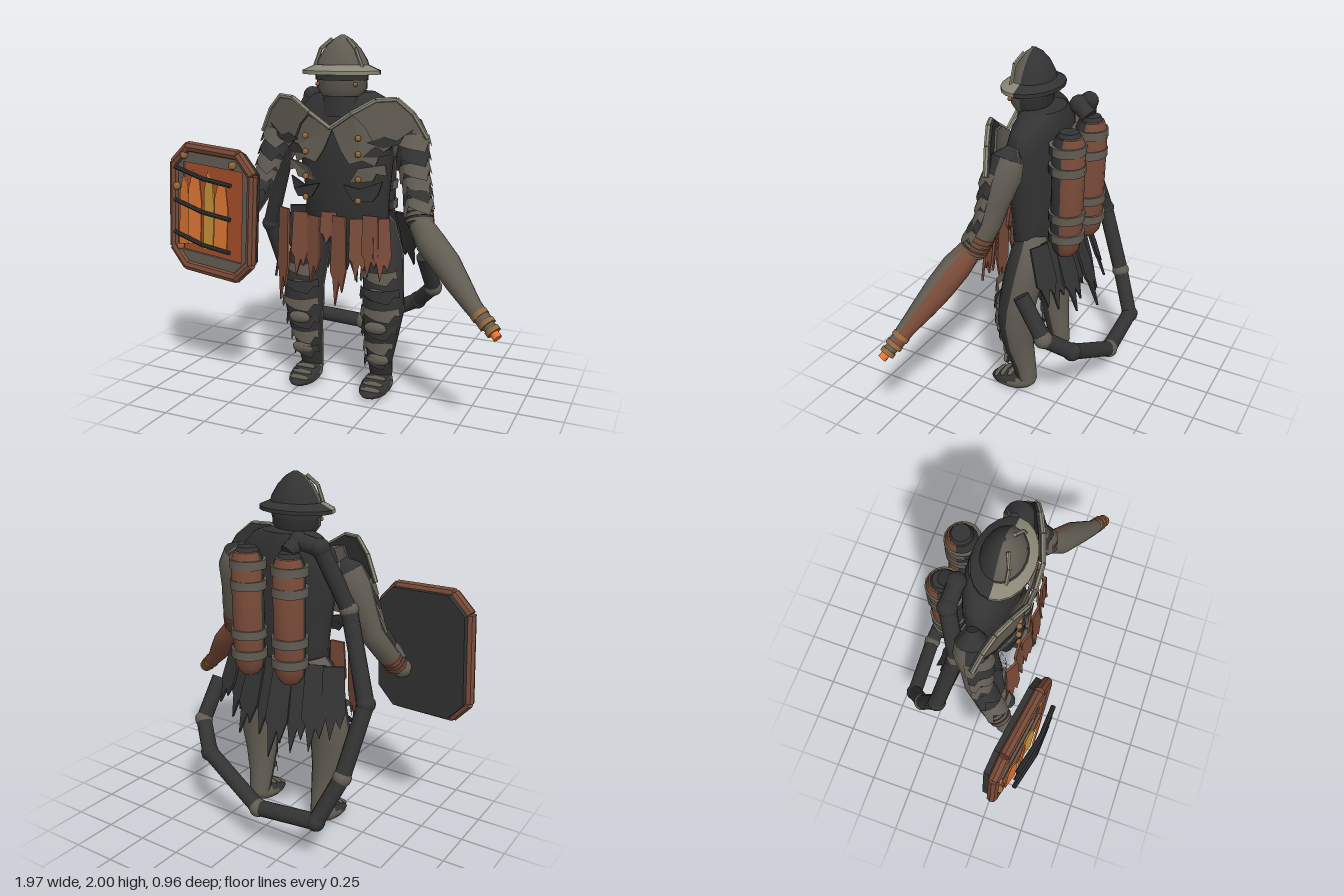
import * as THREE from 'three';
import { toCreasedNormals } from 'three/addons/utils/BufferGeometryUtils.js';

const V = (a) => new THREE.Vector3(...a);
const UP = new THREE.Vector3(0, 1, 0);

export function createModel() {
  const root = new THREE.Group();
  const mat = (name, color) => {
    const m = new THREE.MeshStandardMaterial({ color, side: THREE.DoubleSide });
    m.name = name;
    return m;
  };
  const steel = mat('steel', 0x625d53), light = mat('light steel', 0x8b8777), dark = mat('charcoal', 0x333334);
  const rust = mat('rust brown', 0x794b39), brass = mat('brass', 0x97673a), ember = mat('ember', 0xa64e2a);
  const flame = mat('flame orange', 0xd97332), ochre = mat('ochre', 0xcb9636), glow = mat('glow', 0xea7634);

  const add = (name, geo, material, parent = root, crease = 0.7) => {
    const m = new THREE.Mesh(toCreasedNormals(geo, crease), material);
    m.name = name;
    parent.add(m);
    return m;
  };
  // Skin over elliptical rings [x, y, z, rx, rz], listed bottom to top
  const loft = (rings, n = 16) => {
    const pos = [], idx = [], c = rings.map((r) => V(r));
    rings.forEach((r, i) => {
      const t = c[Math.min(i + 1, c.length - 1)].clone().sub(c[Math.max(i - 1, 0)]).normalize();
      const q = new THREE.Quaternion().setFromUnitVectors(UP, t);
      for (let j = 0; j < n; j++) {
        const a = (j / n) * Math.PI * 2;
        const p = new THREE.Vector3(Math.cos(a) * r[3], 0, Math.sin(a) * (r[4] ?? r[3])).applyQuaternion(q).add(c[i]);
        pos.push(p.x, p.y, p.z);
        if (i < rings.length - 1) {
          const k = (j + 1) % n, A = i * n + j, B = i * n + k;
          idx.push(A, A + n, B, B, A + n, B + n);
        }
      }
    });
    const last = rings.length - 1, b0 = pos.length / 3;
    pos.push(...c[0].toArray(), ...c[last].toArray());
    for (let j = 0; j < n; j++) {
      const k = (j + 1) % n;
      idx.push(b0, j, k, b0 + 1, last * n + k, last * n + j);
    }
    const g = new THREE.BufferGeometry();
    g.setAttribute('position', new THREE.Float32BufferAttribute(pos, 3));
    g.setIndex(idx);
    return g;
  };
  // Split faces into two material groups by face direction
  const split = (g, test = (n) => n.z > 0) => {
    const a = [], b = [], p = g.attributes.position, ix = g.index.array, tri = new THREE.Triangle(), n = new THREE.Vector3();
    for (let i = 0; i < ix.length; i += 3) {
      tri.setFromAttributeAndIndices(p, ix[i], ix[i + 1], ix[i + 2]);
      tri.getNormal(n);
      (test(n) ? a : b).push(ix[i], ix[i + 1], ix[i + 2]);
    }
    g.setIndex([...a, ...b]);
    g.clearGroups();
    g.addGroup(0, a.length, 0);
    g.addGroup(a.length, b.length, 1);
    return g;
  };
  const beam = (name, p, q, r, material, parent = root, sides = 10, r2 = r) => {
    const a = V(p), d = V(q).sub(a);
    const m = add(name, new THREE.CylinderGeometry(r2, r, d.length(), sides), material, parent);
    m.position.copy(a).addScaledVector(d, 0.5);
    m.quaternion.setFromUnitVectors(UP, d.normalize());
  };
  const ball = (name, p, r, material, parent = root, s = [1, 1, 1]) => {
    const m = add(name, new THREE.SphereGeometry(r, 12, 8), material, parent);
    m.position.set(...p);
    m.scale.set(...s);
  };
  const outline = (pts) => new THREE.Shape(pts.map((p) => new THREE.Vector2(p[0], p[1])));
  const extrude = (shape, depth) => new THREE.ExtrudeGeometry(shape, { depth, bevelEnabled: false });
  // Front plate with its depth following the chest curve
  const depthAt = (x) => 0.16 - 0.45 * Math.max(0, Math.abs(x + 0.015) - 0.14);
  const chestPlate = (name, pts, lift, material, depth = 0.015) => {
    const g = extrude(outline(pts), depth), p = g.attributes.position;
    for (let i = 0; i < p.count; i++) p.setZ(i, p.getZ(i) + depthAt(p.getX(i)) + lift);
    add(name, g, material, root, 0.2);
  };
  // Ragged armour shell around the front of a limb
  const band = (name, c, r, h, material, dir = [0, 1, 0], arc = 2.5, turn = 0) => {
    const g = new THREE.CylinderGeometry(r, r * 1.08, h, 8, 1, true, turn - arc / 2, arc), p = g.attributes.position;
    for (let i = 9; i < 18; i++) p.setY(i, p.getY(i) + [0, 0.35, 0.1, 0.55, 0.2][(i * 3) % 5] * h);
    const m = add(name, g, material, root, 0.3);
    m.position.set(...c);
    m.quaternion.setFromUnitVectors(UP, V(dir).normalize());
  };

  // Torso, hips and neck
  add('torso', loft([[-0.01, 0.86, -0.02, 0.15, 0.08], [-0.01, 0.98, -0.02, 0.25, 0.12], [-0.01, 1.12, -0.02, 0.25, 0.13],
    [-0.01, 1.3, -0.015, 0.27, 0.14], [-0.01, 1.5, -0.015, 0.31, 0.14], [-0.01, 1.61, -0.03, 0.28, 0.125],
    [-0.01, 1.675, -0.04, 0.21, 0.11], [-0.01, 1.7, -0.04, 0.15, 0.1]], 20), dark);
  add('neck', loft([[-0.015, 1.58, 0.02, 0.14, 0.1], [-0.015, 1.7, 0.03, 0.1, 0.08]]), dark);

  // Helmet with face guard
  add('faceGuard', split(loft([[-0.015, 1.68, 0.04, 0.11, 0.085], [-0.015, 1.72, 0.04, 0.14, 0.105], [-0.015, 1.83, 0.04, 0.145, 0.11]], 20)), [steel, dark]);
  add('eyeSlit', loft([[-0.015, 1.765, 0.042, 0.147, 0.113], [-0.015, 1.792, 0.042, 0.147, 0.113]], 20), dark);
  add('helmetDome', split(loft([[-0.015, 1.82, 0.03, 0.155, 0.115], [-0.015, 1.87, 0.03, 0.138, 0.105], [-0.015, 1.93, 0.03, 0.1, 0.08],
    [-0.015, 1.975, 0.03, 0.055, 0.045], [-0.015, 2, 0.03, 0.012, 0.01]], 20)), [steel, dark]);
  add('helmetBrim', split(loft([[-0.02, 1.79, 0.035, 0.14, 0.1], [-0.02, 1.795, 0.035, 0.22, 0.155], [-0.02, 1.815, 0.035, 0.22, 0.155],
    [-0.02, 1.845, 0.035, 0.15, 0.115]], 20)), [light, dark]);
  for (const s of [-1, 1]) {
    beam('helmetRib', [-0.015 + s * 0.14, 1.83, 0.09], [-0.015 + s * 0.1, 1.93, 0.09], 0.01, light, root, 6);
    beam('helmetRib', [-0.015 + s * 0.1, 1.93, 0.09], [-0.015 + s * 0.045, 1.98, 0.065], 0.01, light, root, 6);
    ball('faceRivet', [-0.015 + s * 0.11, 1.745, 0.115], 0.012, brass);
  }

  // Breastplates, shoulder plates, trim and belly lames
  for (const s of [-1, 1]) {
    const at = (pts) => pts.map(([x, y]) => [s * x - 0.015, y]);
    const pauldron = at([[0.12, 1.6], [0.24, 1.67], [0.34, 1.675], [0.42, 1.6], [0.49, 1.47], [0.43, 1.48], [0.38, 1.42], [0.34, 1.45], [0.28, 1.4], [0.23, 1.45], [0.19, 1.53]]);
    chestPlate('breastplate', at([[0, 1.51], [0.12, 1.59], [0.25, 1.62], [0.32, 1.5], [0.3, 1.38], [0.26, 1.4], [0.23, 1.32], [0.17, 1.35], [0.1, 1.33], [0.05, 1.4]]), 0, steel);
    chestPlate('pauldron', pauldron, 0.025, steel);
    chestPlate('pauldronLining', pauldron, 0.013, dark, 0.012);
    chestPlate('pauldronGap', at([[0.2, 1.45], [0.28, 1.48], [0.34, 1.46], [0.42, 1.52], [0.4, 1.48], [0.35, 1.44], [0.28, 1.42]]), 0.038, dark, 0.006);
    chestPlate('breastGap', at([[0.17, 1.37], [0.22, 1.42], [0.31, 1.43], [0.29, 1.38], [0.24, 1.37]]), 0.013, dark, 0.006);
    chestPlate('upperLame', at([[0.1, 1.23], [0.15, 1.31], [0.28, 1.33], [0.29, 1.27], [0.24, 1.28], [0.22, 1.24]]), 0.005, steel);
    chestPlate('lowerLame', at([[0.07, 1.22], [0.16, 1.2], [0.27, 1.24], [0.25, 1.17], [0.22, 1.13], [0.12, 1.14]]), 0.01, dark);
    const trim = at([[0, 1.52], [0.12, 1.6], [0.24, 1.67], [0.34, 1.675], [0.42, 1.6], [0.49, 1.47]]);
    for (let i = 0; i < 5; i++) {
      const [p, q] = [trim[i], trim[i + 1]].map(([x, y]) => [x, y, depthAt(x) + 0.038]);
      beam('trim', p, q, 0.013, light, root, 6);
    }
    for (const y of [1.47, 1.385, 1.25, 1.135]) ball('rivet', [s * 0.155 - 0.02, y, 0.172], 0.017, brass);
  }

  // Arms: rings from hand end to shoulder, plain behind and plated in front
  const armPaths = {
    leftArm: [[0.475, 1.02, 0.135, 0.065], [0.455, 1.1, 0.1, 0.072], [0.43, 1.2, 0.055, 0.07], [0.4, 1.32, 0.03, 0.08], [0.37, 1.45, 0, 0.098], [0.34, 1.525, -0.01, 0.085], [0.3, 1.575, -0.02, 0.03]],
    rightArm: [[-0.57, 0.96, 0.22, 0.05], [-0.54, 1.05, 0.15, 0.065], [-0.48, 1.2, 0.05, 0.07], [-0.44, 1.32, 0.03, 0.08], [-0.4, 1.45, 0, 0.098], [-0.37, 1.525, -0.01, 0.085], [-0.33, 1.575, -0.02, 0.03]],
  };
  for (const [name, path] of Object.entries(armPaths)) {
    add(name, split(loft(path), (n) => n.z > 0 || n.y > 0.5), [dark, steel]);
    const ringR = name === 'leftArm' ? 0.076 : 0.064;
    for (let k = 0; k < 6; k++) {
      const t = 1 + k * 0.55, i = Math.floor(t), f = t - i, a = path[i], b = path[i + 1];
      const c = a.map((v, j) => v + (b[j] - v) * f);
      band('armPlate', c.slice(0, 3), c[3] + 0.008, 0.1, k % 3 === 1 ? dark : steel, b.slice(0, 3).map((v, j) => v - a[j]), 2.6, name === 'leftArm' ? 0.3 : -0.3);
    }
    const d = V(path[1]).sub(V(path[0])).normalize();
    for (let k = 0; k < 4; k++) {
      const p = V(path[0]).addScaledVector(d, 0.02 + k * 0.028), e = p.clone().addScaledVector(d, 0.018);
      add('wristRing', split(loft([[...p, ringR], [...e, ringR]])), [steel, rust]);
    }
  }
  ball('rightHand', [-0.58, 0.95, 0.24], 0.055, steel);

  // Flame nozzle replacing the left forearm
  add('nozzle', split(loft([[0.9, 0.62, 0.36, 0.04], [0.82, 0.69, 0.33, 0.047], [0.73, 0.78, 0.28, 0.064], [0.65, 0.865, 0.235, 0.076],
    [0.55, 0.955, 0.19, 0.079], [0.475, 1.04, 0.14, 0.062]])), [steel, rust]);
  beam('nozzleMouth', [0.94, 0.59, 0.38], [0.89, 0.63, 0.355], 0.034, steel, root, 12);
  beam('nozzleTip', [0.966, 0.567, 0.395], [0.935, 0.593, 0.378], 0.024, glow, root, 12);
  for (const [x, y, z, r] of [[0.935, 0.594, 0.376, 0.04], [0.9, 0.622, 0.36, 0.046], [0.86, 0.655, 0.345, 0.048]])
    beam('nozzleRing', [x + 0.009, y - 0.008, z + 0.004], [x - 0.009, y + 0.008, z - 0.004], r, brass, root, 12);

  // Legs and feet
  for (const s of [-1, 1]) {
    const X = (x) => s * x - 0.02;
    add('leg', split(loft([[X(0.22), 0.06, -0.035, 0.062, 0.056], [X(0.22), 0.18, -0.01, 0.072, 0.072], [X(0.235), 0.34, 0.018, 0.1, 0.085], [X(0.247), 0.5, 0.02, 0.122, 0.1],
      [X(0.245), 0.6, 0.012, 0.117, 0.103], [X(0.225), 0.8, -0.025, 0.118, 0.108], [X(0.18), 0.95, -0.045, 0.11, 0.1], [X(0.16), 1.01, -0.04, 0.08, 0.08]])), [dark, steel]);
    const plates = [[0.71, 0.118, 0.237], [0.61, 0.126, 0.245], [0.5, 0.125, 0.247], [0.39, 0.113, 0.238], [0.29, 0.096, 0.23], [0.2, 0.085, 0.222]];
    plates.forEach(([y, r, x], i) => band('legPlate', [X(x), y, y * 0.02], r, 0.075, i % 2 ? dark : steel, [0, 1, 0.1], 2.2));
    for (const [y, z] of [[0.6, 0.108], [0.41, 0.11], [0.21, 0.07]]) ball('kneeCap', [X(0.235), y, z], 0.045, steel, root, [1.5, 0.8, 0.6]);
    // Wedge shoe, lower at the toe
    const foot = new THREE.SphereGeometry(1, 16, 10), p = foot.attributes.position;
    for (let i = 0; i < p.count; i++) {
      const z = p.getZ(i), h = 0.095 - 0.04 * z;
      p.setXYZ(i, p.getX(i) * 0.088, Math.max(0, h * (0.5 + 0.55 * p.getY(i))), 0.055 + z * 0.145);
    }
    add('foot', split(foot, (n) => n.y > 0.25 && n.z > 0), [dark, steel]).position.set(X(0.222), 0, 0);
    for (const [z, y] of [[0.15, 0.055], [0.11, 0.075], [0.06, 0.092]]) ball('footPlate', [X(0.222), y, z], 0.05, steel, root, [1.3, 0.28, 0.4]);
  }

  // Ragged skirt strips around the waist
  const tab = (name, x, y, z, turn, w, h, tilt, material) => {
    const m = add(name, extrude(outline([[-w * 0.42, 0], [w * 0.44, 0], [w * 0.54, -h * 0.6], [w * 0.3, -h * 0.84], [w * 0.12, -h * 0.72],
      [-w * 0.12, -h], [-w * 0.3, -h * 0.7], [-w * 0.48, -h * 0.62]]), 0.014), material, root, 0.2);
    m.rotation.order = 'YXZ';
    m.rotation.set(-tilt, turn, 0);
    m.position.set(x, y, z);
  };
  [[-0.3, 0.53], [-0.205, 0.36], [-0.11, 0.38], [-0.03, 0.18], [0.04, 0.5], [0.135, 0.34], [0.215, 0.34], [0.265, 0.34]]
    .forEach(([x, h], i) => tab('frontSkirtStrip', x, [1.065, 1.05, 1.04][i % 3], 0.195 - 0.25 * x * x - (i % 2) * 0.014, (i % 2 ? 0.25 : -0.2) + x, 0.098, h, 0.05 + (i % 2) * 0.06, rust));
  tab('sideSkirtStrip', -0.34, 1.03, 0.08, -1.1, 0.12, 0.4, 0.16, dark);
  [[-0.35, 0.4], [-0.26, 0.47], [-0.17, 0.5], [-0.08, 0.54], [0, 0.44], [0.09, 0.46], [0.18, 0.4], [0.26, 0.34]]
    .forEach(([x, h], i) => tab('backSkirtStrip', x, 1.02, -0.17 + 0.5 * x * x, Math.PI - x * 1.6, 0.13, h, 0.24 + (i % 2) * 0.08, dark));

  // Twin back tanks with clamps, darker on the inner side
  for (const x of [-0.155, 0.11]) {
    add('tank', split(loft([[x, 0.915, -0.222, 0.02], [x, 0.93, -0.223, 0.05], [x, 0.97, -0.225, 0.077], [x, 1.03, -0.228, 0.086], [x, 1.56, -0.238, 0.088],
      [x, 1.61, -0.24, 0.068], [x, 1.63, -0.24, 0.02]])), [dark, rust]);
    beam('tankCap', [x, 1.575, -0.238], [x, 1.635, -0.238], 0.08, dark, root, 14, 0.05);
    for (const y of [1.05, 1.165, 1.435, 1.545]) add('tankClamp', split(loft([[x, y - 0.024, -0.23, 0.099], [x, y + 0.024, -0.23, 0.099]]), (n) => n.z < 0.3), [steel, dark]);
  }

  // Jointed hose from tank top, down the right side and round the back
  const hose = [[-0.14, 1.63, -0.23], [-0.16, 1.68, -0.16], [-0.29, 1.66, -0.16], [-0.42, 1.34, -0.08], [-0.58, 0.88, -0.16], [-0.53, 0.5, -0.3], [-0.44, 0.26, -0.41],
    [-0.08, 0.235, -0.43], [0.3, 0.44, -0.37], [0.43, 0.57, -0.26], [0.415, 0.79, -0.12]];
  hose.forEach((p, i) => {
    if (i < hose.length - 1) beam('hose', p, hose[i + 1], 0.045, dark, root, 12);
    if (i > 0 && i < hose.length - 1) ball('hoseJoint', p, 0.052, i > 2 && i % 2 ? steel : dark);
  });

  // Shield with burning window
  const shield = new THREE.Group();
  shield.name = 'shield';
  shield.position.set(-0.665, 1.04, 0.33);
  shield.rotation.set(0, -0.16, -0.06);
  root.add(shield);
  const oct = (w, h, c) => [[-w + c, h], [w - c, h], [w, h - c], [w, -h + c], [w - c, -h], [-w + c, -h], [-w, -h + c], [-w, h - c]];
  const rim = oct(0.28, 0.345, 0.1);
  add('shieldBack', extrude(outline(rim), 0.03), dark, shield, 0.2).position.z = -0.045;
  const ringShape = outline(rim);
  ringShape.holes.push(new THREE.Path([[-0.215, 0.255], [-0.215, -0.255], [0.215, -0.255], [0.215, 0.255]].map((p) => new THREE.Vector2(...p))));
  add('shieldFace', extrude(ringShape, 0.035), steel, shield, 0.2).position.z = -0.015;
  add('emberPanel', new THREE.BoxGeometry(0.43, 0.51, 0.01), ember, shield, 0.2);
  rim.forEach((p, i) => beam('shieldRim', [...p, 0.015], [...rim[(i + 1) % 8], 0.015], 0.03, rust, shield, 8));
  [[-0.165, flame, 0.4], [-0.08, flame, 0.43], [0.015, ochre, 0.45], [0.11, flame, 0.4]].forEach(([x, m, h], i) => {
    const w = 0.042, y = -0.215 + (i % 2) * 0.02;
    const tongue = add('flameTongue', extrude(outline([[-w, y], [w, y + 0.02], [w * 1.1, y + h * 0.6], [w * 0.7, y + h * 0.9], [-w * 0.3, y + h], [-w * 0.9, y + h * 0.75]]), 0.009), m, shield, 0.2);
    tongue.position.set(x, 0, 0.055 + (i % 2) * 0.012);
    tongue.rotation.y = i % 2 ? 0.15 : -0.15;
  });
  for (const y of [0.215, 0.03, -0.155]) {
    beam('grateBar', [-0.2, y + 0.024, 0.1], [0.02, y - 0.008, 0.118], 0.013, dark, shield, 8);
    beam('grateBar', [0.02, y - 0.008, 0.118], [0.2, y - 0.022, 0.1], 0.013, dark, shield, 8);
  }
  for (const p of [[-0.2, 0.295], [0.15, 0.285], [-0.255, 0.11], [-0.225, -0.235]]) ball('shieldRivet', [...p, 0.03], 0.022, brass, shield);

  return root;
}
